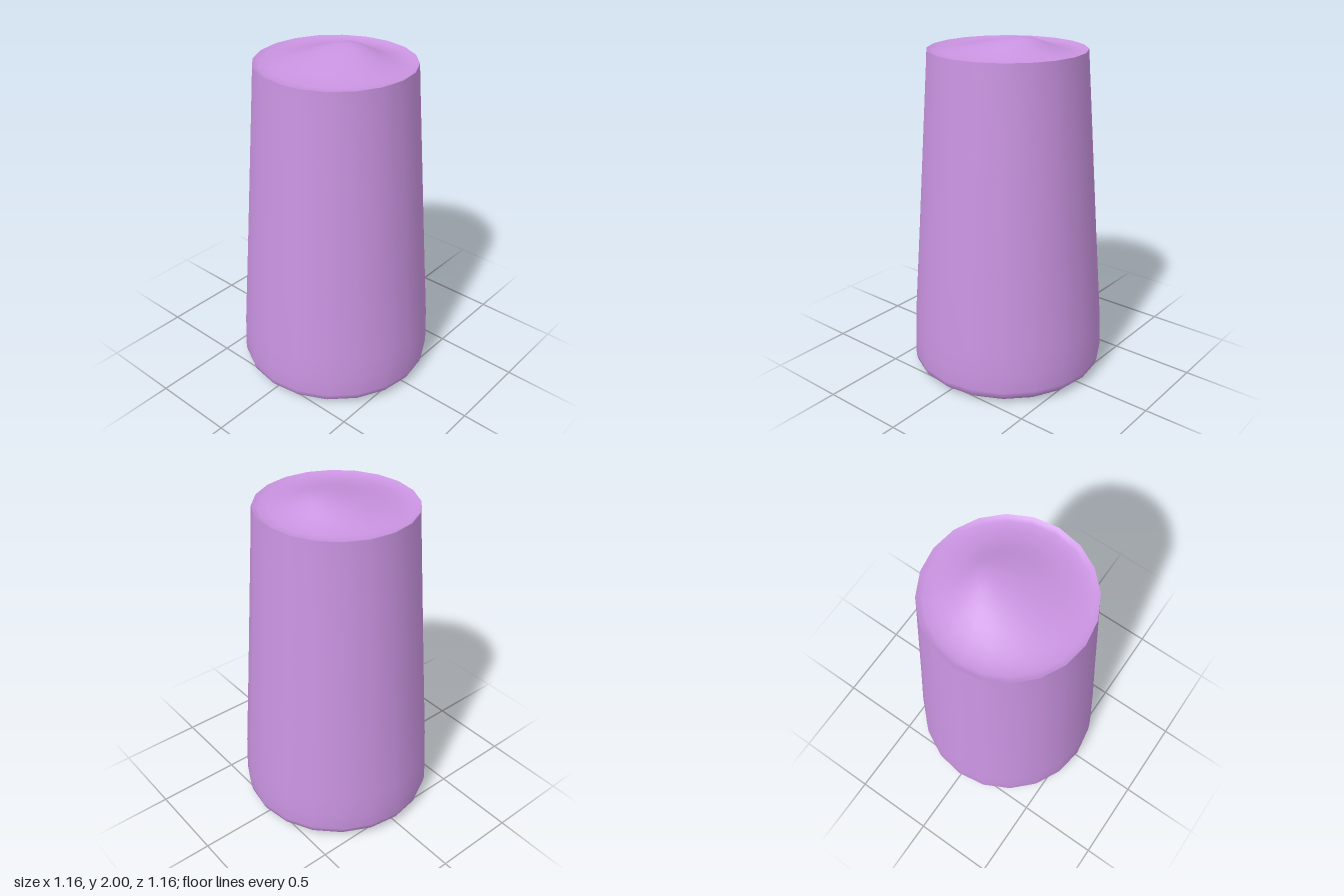
import * as THREE from 'three';
import { mergeVertices } from 'three/addons/utils/BufferGeometryUtils.js';

const SIDES = 20;

// Revolve [radius, height, zShift] rings; a shift slides a whole ring along z.
function revolve(rings) {
  const geo = new THREE.LatheGeometry(rings.map(([r, y]) => new THREE.Vector2(r, y)), SIDES);
  const pos = geo.attributes.position;
  for (let i = 0; i < pos.count; i++) {
    pos.setZ(i, pos.getZ(i) + (rings[i % rings.length][2] || 0));
  }
  // Weld the seam so the shading runs smoothly all the way round
  geo.deleteAttribute('uv');
  geo.deleteAttribute('normal');
  const welded = mergeVertices(geo, 1e-4);
  welded.computeVertexNormals();
  return welded;
}

export function createModel() {
  const group = new THREE.Group();
  group.name = 'taperedCup';
  const material = new THREE.MeshStandardMaterial({ color: 0xc993e0 });

  function add(name, rings) {
    const mesh = new THREE.Mesh(revolve(rings), material);
    mesh.name = name;
    group.add(mesh);
  }

  // Tapered wall with a rounded foot and closed base
  add('body', [
    [0, 0], [0.43, 0.002], [0.5, 0.008], [0.545, 0.022], [0.57, 0.045], [0.579, 0.08],
    [0.577, 0.18], [0.57, 0.32], [0.53, 0.84], [0.49, 1.38], [0.456, 1.84], [0.45, 1.93],
  ]);

  // Top surface: thin lip, shallow dip and an off-centre swell
  add('top', [
    [0.45, 1.93], [0.435, 1.923], [0.415, 1.916], [0.36, 1.914, -0.005], [0.28, 1.93, -0.02],
    [0.21, 1.952, -0.045], [0.14, 1.975, -0.07], [0.07, 1.994, -0.1], [0, 2, -0.11],
  ]);

  return group;
}
